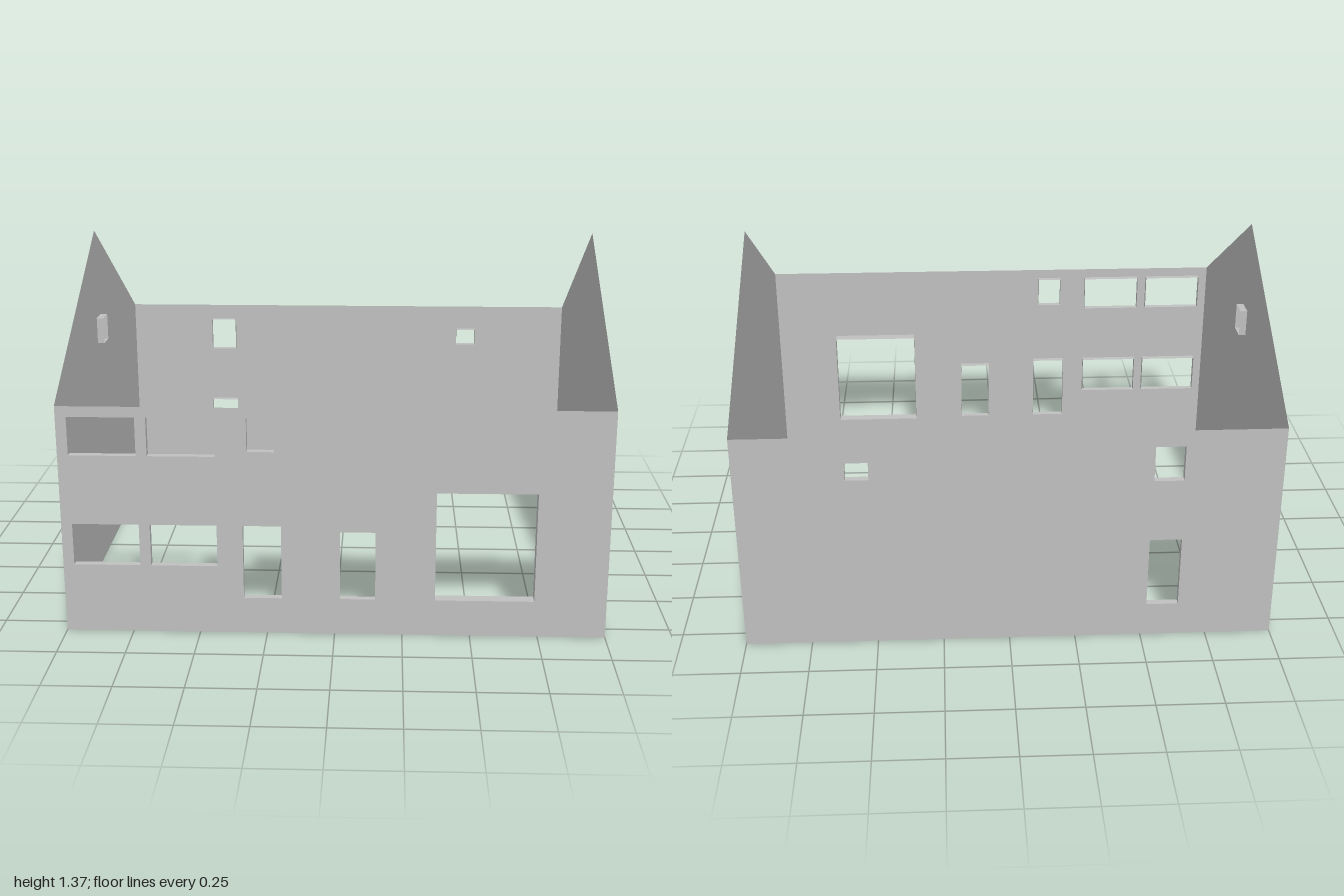
import * as THREE from 'three';
import { mergeGeometries } from 'three/addons/utils/BufferGeometryUtils.js';

const EAVE = 0.875, RIDGE = 1.365, HALF_W = 1, HALF_D = 0.82;

const wallMaterial = new THREE.MeshStandardMaterial({ color: 0xc0c0c0, side: THREE.DoubleSide });
wallMaterial.name = 'plaster grey';

// Four thin faces lining an opening, running inward (-z) from the wall
function revealGeometry([x0, x1, y0, y1, depth]) {
  const w = x1 - x0, h = y1 - y0, cx = (x0 + x1) / 2, cy = (y0 + y1) / 2;
  const sides = [
    new THREE.PlaneGeometry(depth, h).rotateY(Math.PI / 2).translate(x0, cy, -depth / 2),
    new THREE.PlaneGeometry(depth, h).rotateY(-Math.PI / 2).translate(x1, cy, -depth / 2),
    new THREE.PlaneGeometry(w, depth).rotateX(-Math.PI / 2).translate(cx, y0, -depth / 2),
    new THREE.PlaneGeometry(w, depth).rotateX(Math.PI / 2).translate(cx, y1, -depth / 2),
  ];
  return mergeGeometries(sides);
}

// Flat wall facing local +z, cut by openings [x0, x1, y0, y1, depth]
function makeWall(name, outline, openings) {
  const wall = new THREE.Group();
  wall.name = name;
  const shape = new THREE.Shape(outline.map(([x, y]) => new THREE.Vector2(x, y)));
  for (const [x0, x1, y0, y1] of openings) {
    shape.holes.push(new THREE.Path([
      new THREE.Vector2(x0, y0), new THREE.Vector2(x0, y1),
      new THREE.Vector2(x1, y1), new THREE.Vector2(x1, y0),
    ]));
  }
  const panel = new THREE.Mesh(new THREE.ShapeGeometry(shape), wallMaterial);
  panel.name = name + 'Panel';
  wall.add(panel);
  openings.forEach((o, i) => {
    const reveal = new THREE.Mesh(revealGeometry(o), wallMaterial);
    reveal.name = `${name}Reveal${i + 1}`;
    wall.add(reveal);
  });
  return wall;
}

export function createModel() {
  const house = new THREE.Group();
  house.name = 'houseShell';

  const long = [[-HALF_W, 0], [HALF_W, 0], [HALF_W, EAVE], [-HALF_W, EAVE]];
  const gable = [[-HALF_D, 0], [HALF_D, 0], [HALF_D, EAVE], [0, RIDGE], [-HALF_D, EAVE]];
  const d = 0.027;

  // Front: windows on two floors, two doors and a large opening
  const front = makeWall('frontWall', long, [
    [-0.96, -0.715, 0.69, 0.835, d],
    [-0.675, -0.43, 0.69, 0.835, d],
    [-0.315, -0.215, 0.71, 0.835, d],
    [-0.96, -0.715, 0.265, 0.425, d],
    [-0.675, -0.43, 0.265, 0.425, d],
    [-0.335, -0.195, 0.14, 0.425, d],
    [0.02, 0.15, 0.14, 0.405, d],
    [0.37, 0.735, 0.14, 0.56, 0.045],
  ]);
  front.position.z = HALF_D;

  // Back: turned half round, so local x runs towards -x
  const back = makeWall('backWall', long, [
    [0.525, 0.635, 0.67, 0.81, d],
    [0.52, 0.64, 0.135, 0.42, d],
    [-0.595, -0.51, 0.7, 0.77, d],
  ]);
  back.rotation.y = Math.PI;
  back.position.z = -HALF_D;

  // Gable ends: one with a small attic window, one solid
  const right = makeWall('rightGable', gable, [[-0.045, 0.035, 0.905, 1.01, d]]);
  right.rotation.y = -Math.PI / 2;
  right.position.x = -HALF_W;

  const left = makeWall('leftGable', gable, []);
  left.rotation.y = Math.PI / 2;
  left.position.x = HALF_W;

  house.add(front, back, right, left);
  return house;
}
